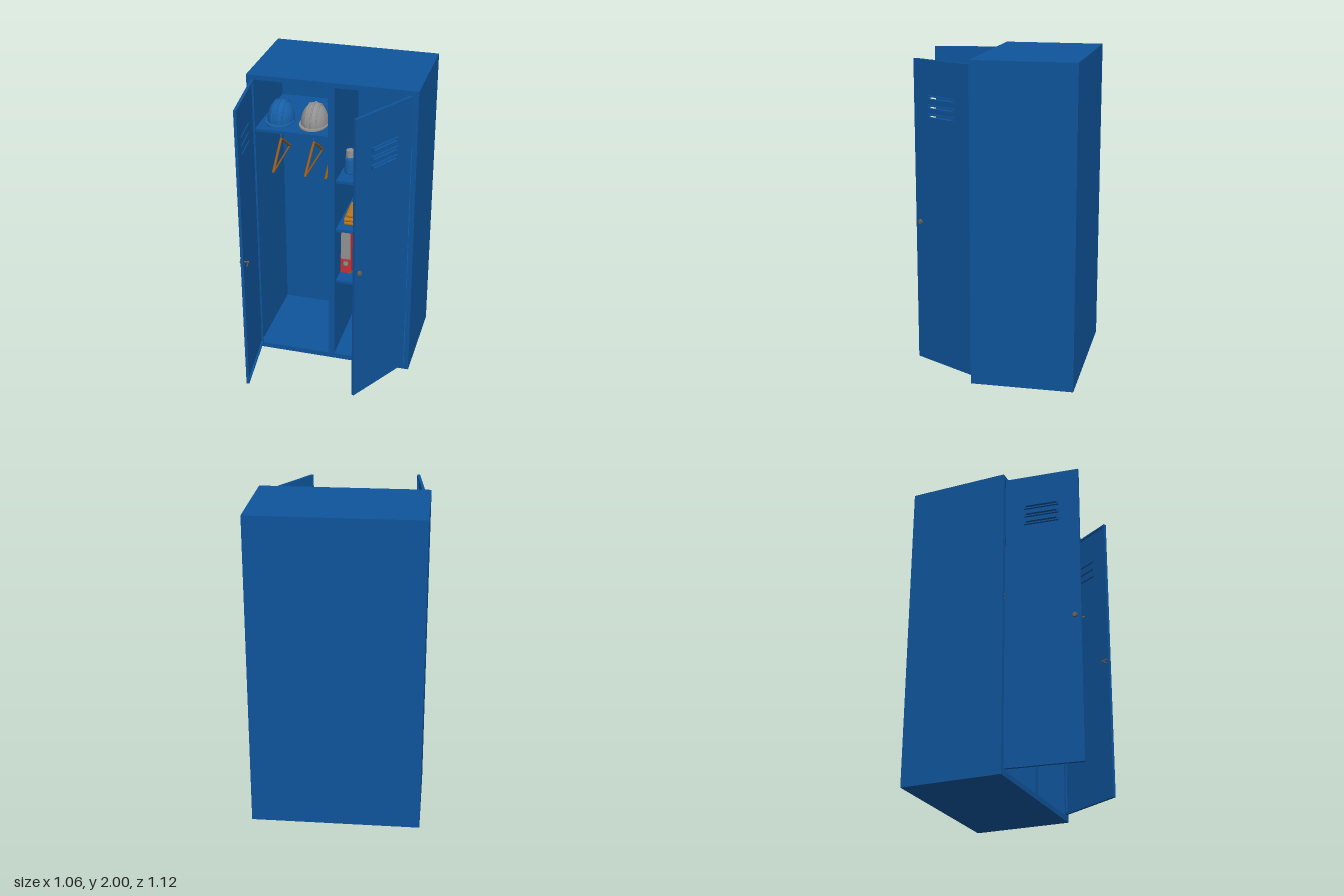
import * as THREE from 'three';
import { RoundedBoxGeometry } from 'three/addons/geometries/RoundedBoxGeometry.js';

const mat = (name, color) => {
  const m = new THREE.MeshStandardMaterial({ color });
  m.name = name;
  return m;
};

export function createModel() {
  const M = {
    blue: mat('locker blue', 0x0f549b),
    gear: mat('gear blue', 0x1760a8),
    grey: mat('light grey', 0x929292),
    red: mat('binder red', 0xc92f33),
    cloth: mat('orange cloth', 0xb8741a),
    wood: mat('hanger wood', 0x94591a),
    metal: mat('key metal', 0x6e6253),
  };
  const root = new THREE.Group();
  root.name = 'locker';

  const group = (name, parent = root, x = 0, y = 0, z = 0) => {
    const g = new THREE.Group();
    g.name = name;
    g.position.set(x, y, z);
    parent.add(g);
    return g;
  };
  const add = (name, geo, m, parent = root, x = 0, y = 0, z = 0) => {
    const mesh = new THREE.Mesh(geo, m);
    mesh.name = name;
    mesh.position.set(x, y, z);
    parent.add(mesh);
    return mesh;
  };
  // box given by its two corners
  const box = (name, m, x0, x1, y0, y1, z0, z1, parent = root) =>
    add(name, new THREE.BoxGeometry(x1 - x0, y1 - y0, z1 - z0), m, parent,
      (x0 + x1) / 2, (y0 + y1) / 2, (z0 + z1) / 2);
  const rod = (name, m, pts, r, parent) => {
    const path = new THREE.CurvePath();
    for (let i = 1; i < pts.length; i++)
      path.add(new THREE.LineCurve3(new THREE.Vector3(...pts[i - 1]), new THREE.Vector3(...pts[i])));
    return add(name, new THREE.TubeGeometry(path, (pts.length - 1) * 6, r, 8), m, parent);
  };
  const rect = (Kind, x0, x1, y0, y1) => new Kind([[x0, y0], [x1, y0], [x1, y1], [x0, y1]]
    .map(p => new THREE.Vector2(...p)));
  const extrude = (shape, depth) => new THREE.ExtrudeGeometry(shape, { depth, bevelEnabled: false });

  // Cabinet shell
  for (const s of [-1, 1])
    box('sideWall', M.blue, s * 0.515 - 0.015, s * 0.515 + 0.015, 0, 2, -0.56, 0.08);
  box('backWall', M.blue, -0.5, 0.5, 0, 2, -0.56, -0.53);
  box('roof', M.blue, -0.5, 0.5, 1.97, 2, -0.53, 0.08);
  box('floor', M.blue, -0.5, 0.5, 0, 0.035, -0.53, 0.08);
  box('divider', M.blue, -0.02, 0.02, 0.035, 1.97, -0.53, 0.08);

  // Shelves
  box('hatShelf', M.blue, -0.5, -0.02, 1.61, 1.628, -0.53, 0.04);
  for (const y of [0.582, 0.967, 1.315])
    box('shelf', M.blue, 0.02, 0.5, y, y + 0.018, -0.53, 0.04);

  // Doors: s = 1 extends to +x from its hinge, s = -1 to -x
  const door = (s, name, hingeX, angle) => {
    const d = group(name, root, hingeX, 0, 0.08);
    d.rotation.y = angle;
    const W = 0.473, y0 = 0.04, y1 = 1.97, rim = 0.012;
    const span = (a, b) => (s > 0 ? [a, b] : [-b, -a]);
    const panel = rect(THREE.Shape, ...span(0, W), y0, y1);
    for (const y of [1.63, 1.685, 1.742]) {
      const slot = [...span(0.135, 0.335), y - 0.006, y + 0.006];
      panel.holes.push(rect(THREE.Path, ...slot));
      const hood = rect(THREE.Shape, ...span(0.125, 0.345), y - 0.014, y + 0.014);
      hood.holes.push(rect(THREE.Path, ...slot));
      add('ventHood', extrude(hood, 0.014), M.blue, d, 0, 0, 0.009);
    }
    add('doorPanel', extrude(panel, 0.006), M.blue, d, 0, 0, 0.003);
    const frame = rect(THREE.Shape, ...span(0, W), y0, y1);
    frame.holes.push(rect(THREE.Path, ...span(rim, W - rim), y0 + rim, y1 - rim));
    add('doorRim', extrude(frame, 0.012), M.blue, d, 0, 0, -0.009);
    // Lock on the outside, latch on the inside
    const lock = add('lock', new THREE.CylinderGeometry(0.014, 0.016, 0.012, 20), M.metal, d, s * 0.435, 0.95, 0.014);
    lock.rotation.x = Math.PI / 2;
    box('latchArm', M.metal, ...span(0.433, 0.439), 0.946, 0.954, -0.033, 0.003, d);
    box('latchHook', M.metal, ...span(0.433, 0.485), 0.946, 0.954, -0.035, -0.031, d);
  };
  door(1, 'leafDoorRight', -0.492, -1.455);
  door(-1, 'leafDoorLeft', 0.488, 1.04);

  // Safety helmets
  for (const [x, m] of [[-0.382, M.gear], [-0.163, M.grey]]) {
    const h = group('helmet', root, x, 1.63, -0.13);
    const dome = add('dome', new THREE.SphereGeometry(1, 32, 16, 0, Math.PI * 2, 0, Math.PI / 2), m, h, 0, 0.008, 0);
    dome.scale.set(0.086, 0.128, 0.108);
    const brim = add('brim', new THREE.CylinderGeometry(1, 1, 0.009, 32), m, h, 0, 0.0045, 0.012);
    brim.scale.set(0.092, 1, 0.125);
    for (const [rx, k] of [[-0.034, 0.92], [0, 1], [0.034, 0.92]]) {
      const ridge = add('ridge', new THREE.TorusGeometry(1, 0.05, 8, 28, Math.PI), m, h, rx, 0.008, 0);
      ridge.rotation.y = Math.PI / 2;
      ridge.scale.set(0.108 * k, 0.128 * k, 0.11);
    }
  }

  // Clothes rail and hangers
  rod('clothesRail', M.wood, [[-0.5, 1.525, -0.23], [-0.02, 1.525, -0.23]], 0.007, root);
  for (const [x, turn] of [[-0.42, 0.04], [-0.2, 0], [-0.065, 0]]) {
    const h = group('hanger', root, x, 0, -0.23);
    h.rotation.y = turn;
    const hook = add('hook', new THREE.TorusGeometry(0.018, 0.003, 8, 18, Math.PI * 1.4), M.metal, h, 0, 1.517, 0);
    hook.rotation.set(0, Math.PI / 2, 0);
    rod('stem', M.metal, [[0, 1.5, -0.014], [0, 1.47, 0], [0, 1.43, 0]], 0.003, h);
    rod('shoulders', M.wood, [[0, 1.3, -0.21], [0, 1.4, -0.07], [0, 1.445, 0], [0, 1.4, 0.07], [0, 1.3, 0.21]], 0.009, h);
    rod('crossBar', M.wood, [[0, 1.3, -0.205], [0, 1.3, 0.205]], 0.006, h);
  }

  // Bottles
  for (const [x, m] of [[0.076, M.gear], [0.155, M.grey]]) {
    const b = group('bottle', root, x, 1.333, -0.1);
    const profile = [[0, 0], [0.035, 0], [0.036, 0.004], [0.036, 0.092], [0.032, 0.103], [0.024, 0.11], [0, 0.11]];
    add('bottleBody', new THREE.LatheGeometry(profile.map(p => new THREE.Vector2(...p)), 28), m, b);
    add('bottleCap', new THREE.CylinderGeometry(0.026, 0.027, 0.045, 24), M.grey, b, 0, 0.132, 0);
  }

  // Folded clothes
  for (const [w, d, y, turn] of [[0.29, 0.25, 1.002, 0], [0.3, 0.24, 1.027, 0.04], [0.26, 0.23, 1.049, -0.05]]) {
    const c = add('foldedCloth', new RoundedBoxGeometry(w, 0.025, d, 3, 0.011), M.cloth, root, 0.2, y, -0.14);
    c.rotation.set(0, turn, turn * 0.3);
  }

  // Ring binders, each placed by its lower left corner
  for (const [x, lean, m] of [[0.026, 0, M.red], [0.134, 0.085, M.red], [0.3, 0.358, M.gear]]) {
    const b = group('binder', root, x, 0.602, 0);
    b.rotation.z = lean;
    box('binderCover', m, 0, 0.07, 0, 0.352, -0.34, -0.06, b);
    box('spineLabel', M.grey, 0.004, 0.066, 0.108, 0.348, -0.06, -0.056, b);
    add('fingerRing', new THREE.TorusGeometry(0.019, 0.003, 8, 24), M.metal, b, 0.035, 0.073, -0.059);
    const disc = add('fingerHole', new THREE.CylinderGeometry(0.018, 0.018, 0.004, 24), M.grey, b, 0.035, 0.073, -0.059);
    disc.rotation.x = Math.PI / 2;
  }

  // Rubber boots, lofted from ellipses [y, centre z, radius x, radius z]
  const sections = [
    [0, 0.045, 0.001, 0.001], [0, 0.045, 0.044, 0.115], [0.02, 0.045, 0.047, 0.118], [0.05, 0.04, 0.045, 0.108],
    [0.085, 0.012, 0.039, 0.073], [0.13, -0.008, 0.035, 0.05], [0.2, -0.012, 0.036, 0.048],
    [0.3, -0.015, 0.045, 0.055], [0.37, -0.015, 0.048, 0.057], [0.432, -0.012, 0.05, 0.058],
    [0.432, -0.012, 0.045, 0.053], [0.25, -0.012, 0.035, 0.044], [0.1, 0, 0.001, 0.001],
  ];
  const N = 28, pos = [], idx = [];
  sections.forEach(([y, cz, rx, rz], i) => {
    for (let j = 0; j < N; j++) {
      const a = (j / N) * Math.PI * 2;
      pos.push(rx * Math.sin(a), y, cz + rz * Math.cos(a));
      if (i === 0) continue;
      const p = (i - 1) * N, k = (j + 1) % N, q = i * N;
      idx.push(p + j, p + k, q + k, p + j, q + k, q + j);
    }
  });
  const bootGeo = new THREE.BufferGeometry();
  bootGeo.setAttribute('position', new THREE.Float32BufferAttribute(pos, 3));
  bootGeo.setIndex(idx);
  bootGeo.computeVertexNormals();
  for (const [x, turn] of [[0.14, 0.35], [0.33, 0.1]]) {
    const b = group('boot', root, x, 0.037, -0.15);
    b.rotation.y = turn;
    add('bootBody', bootGeo, M.blue, b);
    const strap = add('bootStrap', new THREE.TorusGeometry(1, 0.06, 8, 28), M.blue, b, 0, 0.36, -0.015);
    strap.rotation.x = Math.PI / 2 - 0.15;
    strap.scale.set(0.048, 0.057, 0.08);
  }
  return root;
}
